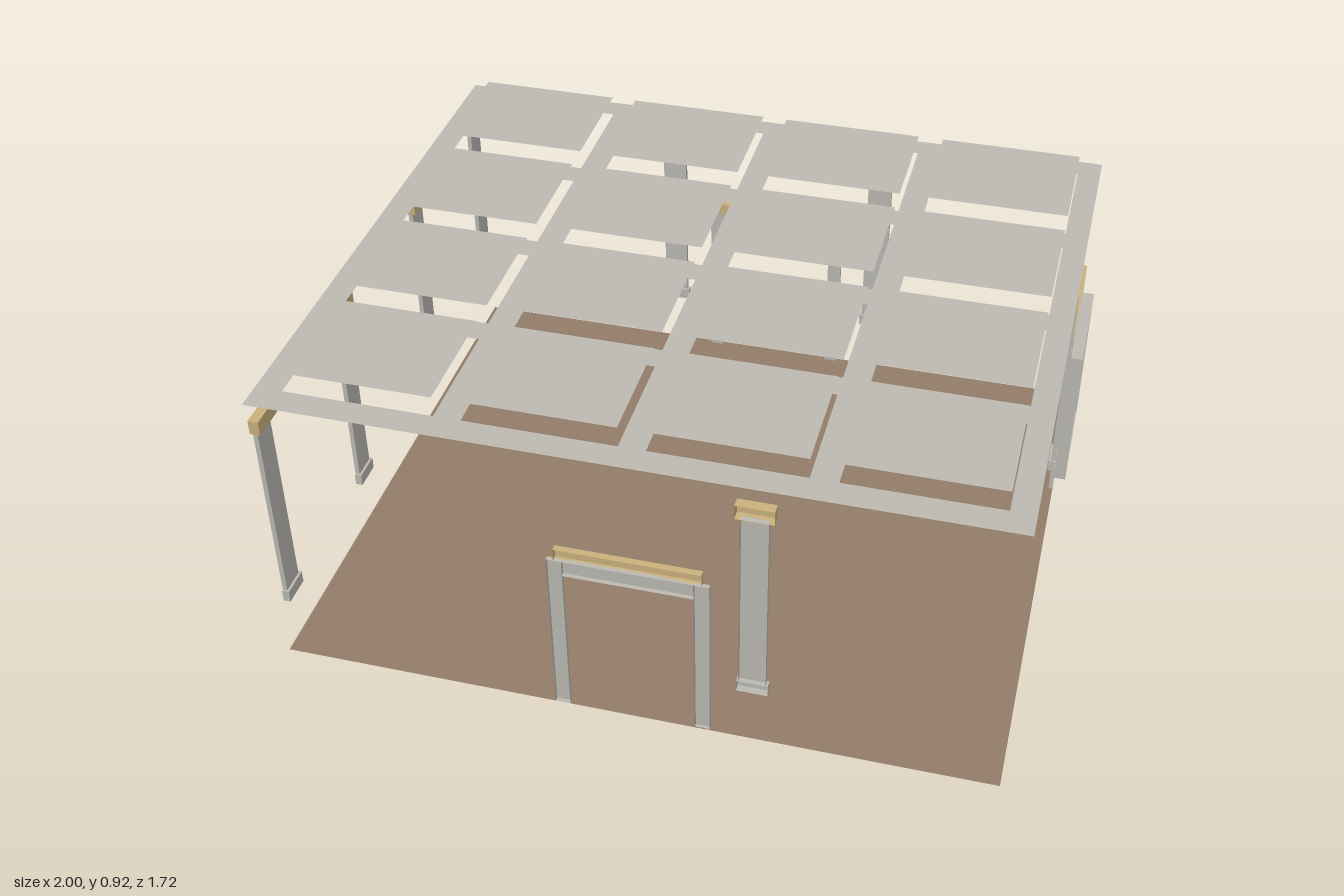
import * as THREE from 'three';

const material = (name, color) =>
  Object.assign(new THREE.MeshStandardMaterial({ color, side: THREE.DoubleSide }), { name });

export function createModel() {
  const stone = material('pale stone', 0xbbb9b2);
  const gold = material('muted gold', 0xcab27c);
  const brown = material('brown floor', 0x927c68);

  const room = new THREE.Group();
  room.name = 'room';
  const X0 = -1, X1 = 0.965, Z0 = -0.83, Z1 = 0.855;

  const add = (parent, name, geometry, mat) => {
    const mesh = new THREE.Mesh(geometry, mat);
    mesh.name = name;
    parent.add(mesh);
    return mesh;
  };

  // Moulding fixed to a wall: a box with no face on its wall side (local z = 0)
  const moulding = (parent, name, mat, x0, x1, y0, y1, depth) => {
    const g = new THREE.BoxGeometry(x1 - x0, y1 - y0, depth);
    g.setIndex([...g.index.array].slice(0, 30));
    g.clearGroups();
    g.translate((x0 + x1) / 2, (y0 + y1) / 2, depth / 2);
    return add(parent, name, g, mat);
  };

  // Each wall has a plane position and a turn that points local +z into the room
  const walls = {
    front: { at: (u) => [u, 0, Z1], turn: Math.PI },
    back: { at: (u) => [u, 0, Z0], turn: 0 },
    left: { at: (u) => [X1, 0, u], turn: -Math.PI / 2 },
    right: { at: (u) => [X0, 0, u], turn: Math.PI / 2 },
  };
  const onWall = (name, wall, u) => {
    const group = new THREE.Group();
    group.name = name;
    group.position.set(...walls[wall].at(u));
    group.rotation.y = walls[wall].turn;
    room.add(group);
    return group;
  };

  // Pilasters
  const pilaster = (wall, u) => {
    const p = onWall(wall + 'Pilaster', wall, u);
    moulding(p, 'base', stone, -0.042, 0.042, 0.17, 0.205, 0.02);
    moulding(p, 'shaft', stone, -0.036, 0.036, 0.205, 0.76, 0.013);
    moulding(p, 'capital', gold, -0.05, 0.05, 0.758, 0.8, 0.028);
  };
  for (const z of [0.795, 0.295, -0.265, -0.76]) pilaster('right', z);
  for (const x of [-0.345, 0.31]) pilaster('back', x);
  pilaster('front', 0.31);
  pilaster('left', -0.265);

  // Door surrounds, two of them with a shallow passage behind the opening
  const doorway = (wall, u, passage) => {
    const d = onWall(wall + 'Doorway', wall, u);
    for (const s of [-1, 1]) {
      const [a, b] = [s * 0.172, s * 0.213].sort((m, n) => m - n);
      moulding(d, 'jamb', stone, a, b, 0, 0.515, 0.012);
    }
    moulding(d, 'lintel', stone, -0.172, 0.172, 0.467, 0.515, 0.012);
    moulding(d, 'cornice', gold, -0.193, 0.193, 0.515, 0.552, 0.018);
    if (!passage) return;
    const depth = 0.033;
    for (const y of [0.01, 0.467]) {
      const g = new THREE.PlaneGeometry(0.344, depth).rotateX(-Math.PI / 2);
      add(d, y < 0.1 ? 'threshold' : 'passageTop', g, stone).position.set(0, y, -depth / 2);
    }
    for (const s of [-1, 1]) {
      const g = new THREE.PlaneGeometry(depth, 0.457).rotateY((s * Math.PI) / 2);
      add(d, 'passageSide', g, stone).position.set(s * 0.172, 0.2385, -depth / 2);
    }
  };
  doorway('front', -0.015, false);
  doorway('back', -0.015, true);
  doorway('left', -0.558, true);

  // Floor
  const floor = add(room, 'floor',
    new THREE.PlaneGeometry(X1 - X0, Z1 - Z0).rotateX(-Math.PI / 2), brown);
  floor.position.set((X0 + X1) / 2, 0, (Z0 + Z1) / 2);

  // Ceiling grid with raised panels over its openings
  const rect = (Type, x0, x1, z0, z1) => new Type([
    new THREE.Vector2(x0, -z1), new THREE.Vector2(x1, -z1),
    new THREE.Vector2(x1, -z0), new THREE.Vector2(x0, -z0),
  ]);
  const grid = rect(THREE.Shape, X0, X1, Z0, Z1);
  for (const x of [-0.927, -0.452, 0.022, 0.497]) {
    for (const z of [-0.76, -0.355, 0.048, 0.45]) {
      const cell = [x, x + 0.403, z, z + 0.33];
      grid.holes.push(rect(THREE.Path, ...cell));
      const panel = new THREE.ShapeGeometry(rect(THREE.Shape, ...cell)).rotateX(-Math.PI / 2);
      add(room, 'ceilingPanel', panel, stone).position.y = 0.918;
    }
  }
  add(room, 'ceilingGrid', new THREE.ShapeGeometry(grid).rotateX(-Math.PI / 2), stone)
    .position.y = 0.86;

  return room;
}
